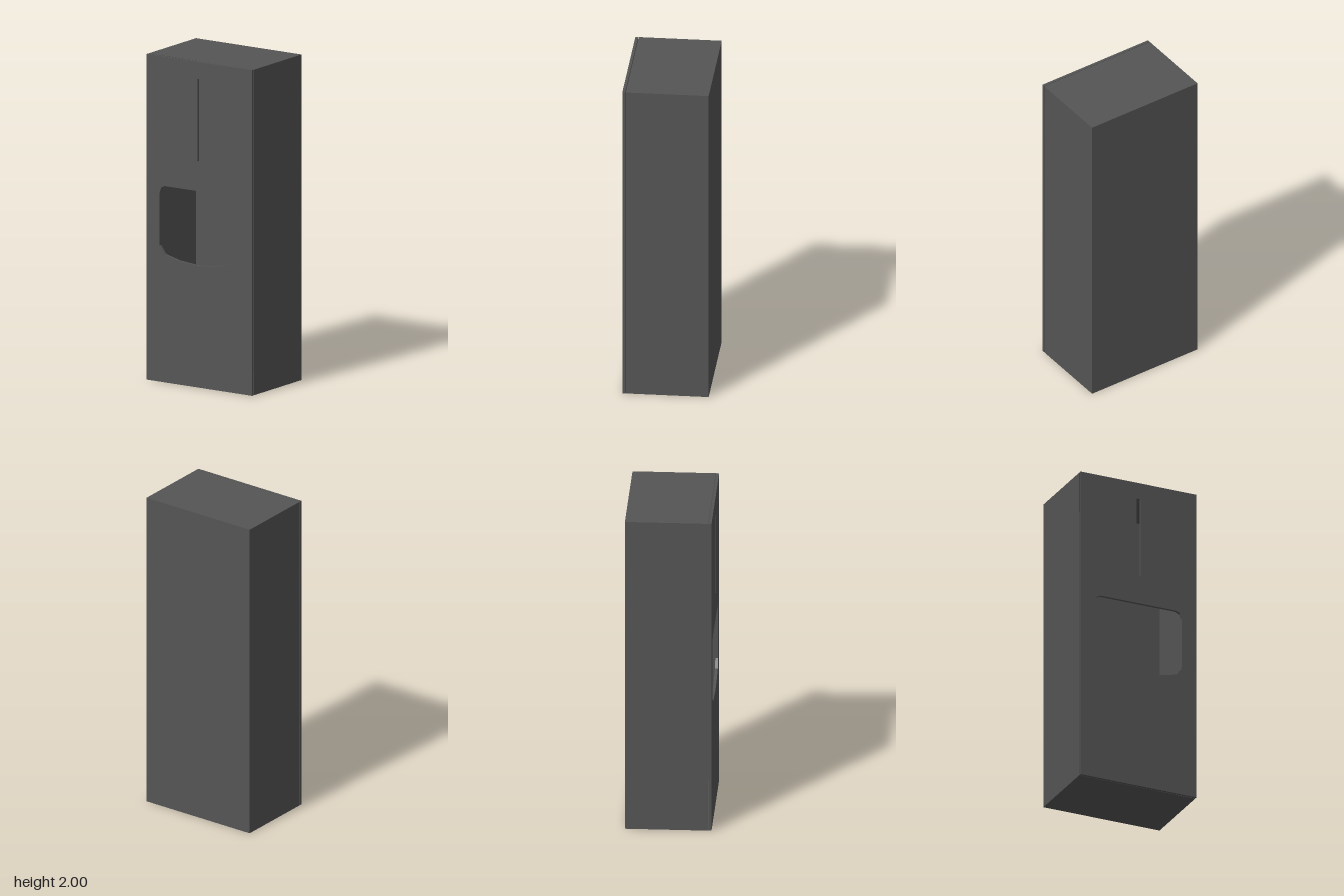
import * as THREE from 'three';

const WIDTH = 0.77, HEIGHT = 2;
const BACK = -0.26, BODY_FRONT = 0.24, PANEL_BACK = 0.243, PANEL_FRONT = 0.26;

// Closed outline mirrored about x = 0 from its right half, listed top to bottom
function mirroredPath(half) {
  const points = half.map(([x, y]) => new THREE.Vector2(x, y));
  const mirrored = half.filter(([x]) => x > 0).reverse().map(([x, y]) => new THREE.Vector2(-x, y));
  return [...points, ...mirrored];
}

export function createModel() {
  const group = new THREE.Group();
  const charcoal = new THREE.MeshStandardMaterial({ color: 0x555555, side: THREE.DoubleSide });
  charcoal.name = 'charcoal';

  // Hollow cabinet: a box without its front face
  const depth = BODY_FRONT - BACK;
  const bodyGeometry = new THREE.BoxGeometry(WIDTH, HEIGHT, depth);
  const index = Array.from(bodyGeometry.index.array);
  index.splice(24, 6); // the +z face
  bodyGeometry.setIndex(index);
  bodyGeometry.clearGroups();
  const cabinet = new THREE.Mesh(bodyGeometry, charcoal);
  cabinet.name = 'cabinet';
  cabinet.position.set(0, HEIGHT / 2, (BACK + BODY_FRONT) / 2);
  group.add(cabinet);

  // Front panel, set off by a narrow gap, with a slot and a window cut through
  const outline = new THREE.Shape(mirroredPath([[WIDTH / 2, HEIGHT], [WIDTH / 2, 0]]));
  const slot = new THREE.Path(mirroredPath([[0.013, 1.895], [0.013, 1.387]]));
  const dispensingWindow = new THREE.Path(mirroredPath([
    [0.25, 1.206], [0.277, 1.194], [0.288, 1.16],
    [0.288, 0.837], [0.25, 0.785], [0.15, 0.76], [0, 0.746],
  ]));
  outline.holes.push(slot, dispensingWindow);
  const panelGeometry = new THREE.ExtrudeGeometry(outline, {
    depth: PANEL_FRONT - PANEL_BACK, bevelEnabled: false,
  });
  const frontPanel = new THREE.Mesh(panelGeometry, charcoal);
  frontPanel.name = 'frontPanel';
  frontPanel.position.z = PANEL_BACK;
  group.add(frontPanel);

  return group;
}
